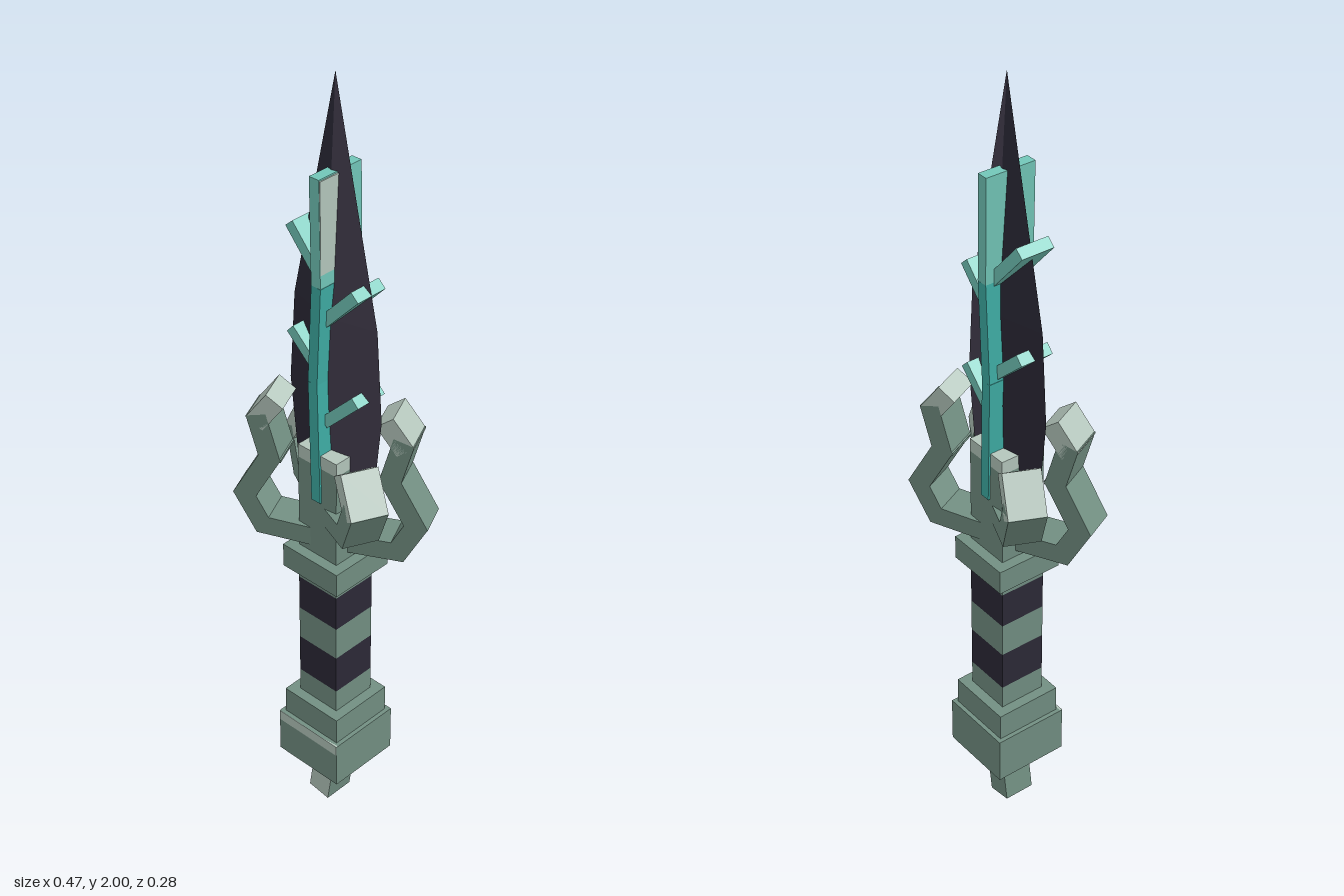
import * as THREE from 'three';

const mat = (name, color, extra = {}) => Object.assign(new THREE.MeshStandardMaterial({ color, ...extra }), { name });

export function createModel() {
  const green = mat('weathered green', 0x728f82);
  const pale = mat('pale green', 0xb4c6bc);
  const dark = mat('dark blade', 0x2c2937);
  const purple = mat('purple blade', 0x453f50);
  const teal = mat('teal', 0x3fada5);
  const lightTeal = mat('light teal', 0x72c6b8);

  const root = new THREE.Group();
  root.name = 'dagger';

  const box = (parent, name, material, w, h, d, x, y, z) => {
    const m = new THREE.Mesh(new THREE.BoxGeometry(w, h, d), material);
    m.name = name;
    m.position.set(x, y, z);
    parent.add(m);
    return m;
  };
  // Square block centred on the axis, between two heights
  const block = (name, material, half, y0, y1) =>
    box(root, name, material, half * 2, y1 - y0, half * 2, 0, (y0 + y1) / 2, 0);
  // Box laid from a to b in the xy plane, extended a little at both ends
  const beam = (parent, name, material, a, b, thick, depth, extend = 0) => {
    const dx = b[0] - a[0], dy = b[1] - a[1];
    const m = box(parent, name, material, Math.hypot(dx, dy) + extend * 2, thick, depth,
      (a[0] + b[0]) / 2, (a[1] + b[1]) / 2, 0);
    m.rotation.z = Math.atan2(dy, dx);
    return m;
  };

  // Pommel and its slanted stub
  const stub = box(root, 'pommelStub', [green, green, green, pale, pale, green], 0.064, 0.18, 0.08, -0.007, 0.093, 0);
  stub.rotation.z = -0.15;
  block('pommel', green, 0.098, 0.145, 0.27);
  box(root, 'pommelHighlight', pale, 0.194, 0.028, 0.006, 0, 0.256, 0.096);
  block('pommelCollar', green, 0.087, 0.27, 0.342);

  // Grip with alternating wraps
  const bands = [0.342, 0.405, 0.51, 0.6, 0.695, 0.73];
  for (let i = 0; i < bands.length - 1; i++) {
    block('gripBand', i % 2 ? dark : green, 0.061, bands[i], bands[i + 1]);
  }

  // Guard
  block('guardCollar', green, 0.087, 0.73, 0.793);
  block('guardCore', green, 0.06, 0.793, 1.045);
  block('guardCap', pale, 0.06, 1.045, 1.08);

  // Claws: a tall pair and a short pair on opposite diagonals
  const tall = [[0.03, 0.835], [0.165, 0.84], [0.208, 0.92], [0.145, 1.035], [0.172, 1.135], [0.138, 1.182]];
  const short = [[0.03, 0.91], [0.14, 0.925], [0.182, 1.01], [0.135, 1.075]];
  const claw = (path, yaw) => {
    const g = new THREE.Group();
    g.name = 'claw';
    g.rotation.y = yaw;
    for (let i = 0; i < path.length - 1; i++) {
      const last = i === path.length - 2;
      beam(g, 'clawSegment', last ? pale : green, path[i], path[i + 1], 0.05, 0.09, 0.014);
    }
    root.add(g);
  };
  const yaw = 0.436;
  for (const turn of [0, Math.PI]) {
    claw(tall, turn + yaw);
    claw(short, turn - yaw);
  }

  // Blade: tapering diamond section, one half per colour
  const rings = [[0.9, 0.11, 0.02], [1.2, 0.141, 0.032], [1.43, 0.125, 0.032], [2, 0, 0]];
  const bladeHalf = (s, material) => {
    const pos = [];
    const tri = (a, b, c) => (s > 0 ? pos.push(...a, ...b, ...c) : pos.push(...a, ...c, ...b));
    const pts = rings.map(([y, hx, hz]) => [[0, y, hz], [s * hx, y, 0], [0, y, -hz]]);
    for (let i = 0; i < pts.length - 1; i++) {
      for (let k = 0; k < 2; k++) {
        tri(pts[i][k], pts[i][k + 1], pts[i + 1][k]);
        if (i < pts.length - 2) tri(pts[i][k + 1], pts[i + 1][k + 1], pts[i + 1][k]);
      }
    }
    tri(pts[0][0], pts[0][2], pts[0][1]);
    const geo = new THREE.BufferGeometry();
    geo.setAttribute('position', new THREE.Float32BufferAttribute(pos, 3));
    geo.computeVertexNormals();
    const m = new THREE.Mesh(geo, material);
    m.name = 'bladeHalf';
    root.add(m);
  };
  bladeHalf(1, purple);
  bladeHalf(-1, dark);

  // Glowing vein running through the blade, slightly kinked
  const vein = [[0, 0.95], [-0.008, 1.27], [0.004, 1.52], [0, 1.78]];
  for (let i = 0; i < 3; i++) {
    beam(root, 'vein', i === 2 ? lightTeal : teal, vein[i], vein[i + 1], 0.028, 0.13);
  }
  box(root, 'veinFrost', pale, 0.004, 0.25, 0.064, 0.0155, 1.652, 0.032);

  // Side branches of the vein
  const branches = [
    [[0, 1.52], [-0.097, 1.63]], [[0.005, 1.425], [0.097, 1.523]],
    [[-0.005, 1.28], [-0.098, 1.365]], [[0.005, 1.16], [0.1, 1.255]],
  ];
  for (const [a, b] of branches) beam(root, 'veinBranch', lightTeal, a, b, 0.028, 0.086);

  return root;
}
